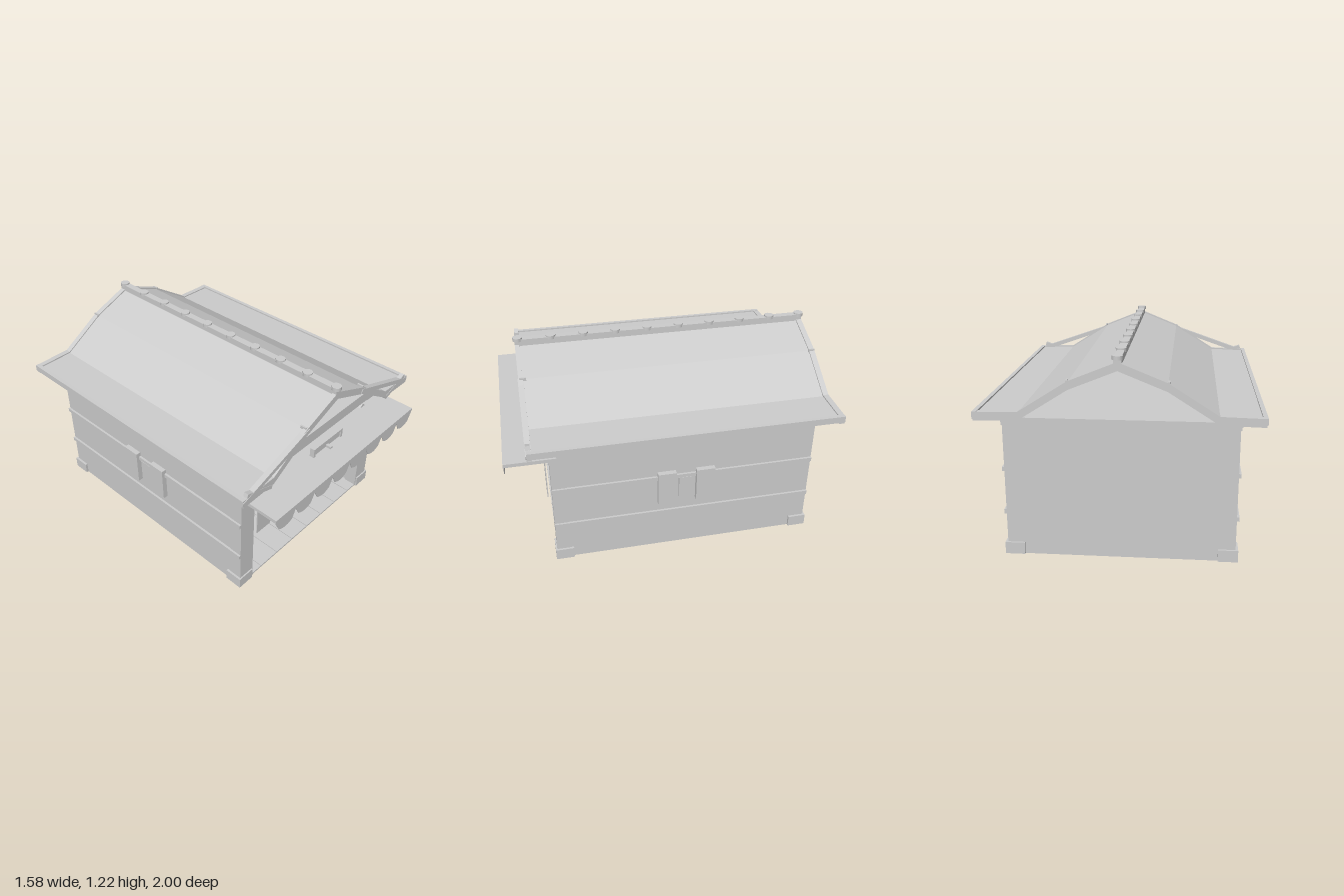
import * as THREE from 'three';

export function createModel() {
  const model = new THREE.Group();
  model.name = 'shopStall';
  const grey = new THREE.MeshStandardMaterial({ color: 0xcccccc });
  grey.name = 'plainGrey';

  const add = (name, geo, x = 0, y = 0, z = 0, parent = model) => {
    const m = new THREE.Mesh(geo, grey);
    m.name = name;
    m.position.set(x, y, z);
    parent.add(m);
    return m;
  };
  // box given by its limits
  const box = (name, x0, x1, y0, y1, z0, z1) =>
    add(name, new THREE.BoxGeometry(x1 - x0, y1 - y0, z1 - z0), (x0 + x1) / 2, (y0 + y1) / 2, (z0 + z1) / 2);
  // box repeated on both sides
  const pair = (name, x0, x1, ...r) => {
    box(name + 'Left', x0, x1, ...r);
    box(name + 'Right', -x1, -x0, ...r);
  };
  const extrude = (name, pts, z0, z1) => {
    const shape = new THREE.Shape(pts.map(p => new THREE.Vector2(p[0], p[1])));
    return add(name, new THREE.ExtrudeGeometry(shape, { depth: z1 - z0, bevelEnabled: false }), 0, 0, z0);
  };
  // straight beam in the front plane
  const beam = (name, a, b, w, z0, z1) => {
    const len = Math.hypot(b[0] - a[0], b[1] - a[1]);
    const m = add(name, new THREE.BoxGeometry(len, w, z1 - z0), (a[0] + b[0]) / 2, (a[1] + b[1]) / 2, (z0 + z1) / 2);
    m.rotation.z = Math.atan2(b[1] - a[1], b[0] - a[0]);
  };

  // Walls, back panel (open from inside), base and ceiling
  pair('sideWall', 0.62, 0.66, 0, 0.82, -0.865, 0.74);
  pair('frontPost', 0.55, 0.662, 0, 0.79, 0.66, 0.743);
  add('backWall', new THREE.PlaneGeometry(1.32, 0.82), 0, 0.41, -0.865).rotation.y = Math.PI;
  box('base', -0.65, 0.65, 0.001, 0.006, -0.865, 0.74);
  box('ceiling', -0.66, 0.66, 0.805, 0.825, -0.865, 0.74);
  box('frontBeam', -0.685, 0.685, 0.79, 0.862, 0.68, 0.755);
  box('lintel', -0.66, 0.66, 0.76, 0.79, 0.69, 0.735);
  box('backBeam', -0.665, 0.665, 0.79, 0.835, -0.873, -0.81);

  // Floor planks
  for (let i = 0; i < 8; i++) {
    const x = -0.62 + i * 0.155;
    box('floorPlank', x + 0.003, x + 0.152, 0.006, 0.012, -0.85, 0.74);
  }

  // Corner feet and side trim
  pair('frontFoot', 0.56, 0.675, 0, 0.072, 0.64, 0.752);
  pair('backFoot', 0.56, 0.675, 0, 0.072, -0.877, -0.765);
  pair('lowerTrim', 0.655, 0.674, 0.25, 0.276, -0.865, 0.742);
  pair('upperTrim', 0.655, 0.674, 0.512, 0.537, -0.865, 0.742);
  pair('topTrim', 0.655, 0.674, 0.79, 0.82, -0.82, 0.69);

  // Side windows with sliding shutters
  pair('frontShutter', 0.655, 0.692, 0.342, 0.565, 0, 0.112);
  pair('backShutter', 0.655, 0.692, 0.342, 0.565, -0.24, -0.125);
  pair('windowPane', 0.655, 0.676, 0.37, 0.515, -0.1, -0.02);

  // Roof shell with thicker rims at the gables and eaves
  const top = [[0, 1.175], [0.265, 1.068], [0.54, 0.893], [0.785, 0.887]];
  const roofBand = (drop, lift) => {
    const half = [...top.map(p => [p[0], p[1] + lift]), ...top.slice().reverse().map(p => [p[0], p[1] - drop])];
    const upper = half.slice(0, 4), lower = half.slice(4);
    const flip = p => [-p[0], p[1]];
    return [...upper.slice(1).reverse().map(flip), ...upper, ...lower, ...lower.slice(0, 3).reverse().map(flip)];
  };
  extrude('roof', roofBand(0.02, 0), -0.97, 0.85);
  extrude('frontBargeboard', roofBand(0.04, 0.008), 0.838, 0.864);
  extrude('backBargeboard', roofBand(0.04, 0.008), -0.985, -0.95);
  pair('eaveBoard', 0.765, 0.79, 0.857, 0.897, -0.985, 0.864);

  // Crossed decorative beams on the front gable
  for (const s of [1, -1]) {
    beam('gableBrace', [s * 0.25, 1.055], [s * 0.785, 0.87], 0.028, 0.835, 0.868);
    beam('gableCrossBeam', [s * 0.555, 0.845], [s * 0.755, 0.913], 0.026, 0.838, 0.866);
    for (const z of [0.838, -0.965]) box('purlinEnd', s * 0.27 - 0.005, s * 0.27 + 0.005, 1.03, 1.08, z - 0.02, z + 0.02);
  }

  // Ridge bar with round caps
  box('ridge', -0.022, 0.022, 1.14, 1.207, -0.985, 0.864);
  for (let i = 0; i < 10; i++)
    add('ridgeCap', new THREE.CylinderGeometry(0.03, 0.03, 0.022, 12), 0, 1.205, 0.845 - i * 0.2015);

  // Awning with a scalloped hanging edge
  box('awning', -0.675, 0.675, 0.743, 0.765, 0.7, 1.0);
  const w = 0.168;
  for (let i = 0; i < 8; i++) {
    const s = new THREE.Shape();
    s.moveTo(-w / 2, 0.755);
    s.lineTo(-w / 2, 0.735);
    s.lineTo(-0.055, 0.678);
    s.quadraticCurveTo(0, 0.645, 0.055, 0.678);
    s.lineTo(w / 2, 0.735);
    s.lineTo(w / 2, 0.755);
    add('awningScallop', new THREE.ExtrudeGeometry(s, { depth: 0.004, bevelEnabled: false, curveSegments: 6 }),
      (i - 3.5) * w, 0, 0.994);
  }
  for (const s of [1, -1])
    extrude('awningBracket', [[s * 0.47 - 0.03, 0.76], [s * 0.47 + 0.03, 0.76], [s * 0.47, 0.79]], 0.73, 0.76);

  // Blank sign board in a frame
  box('signBoard', -0.13, 0.13, 0.65, 0.82, 0.812, 0.826);
  pair('signSideRail', 0.125, 0.14, 0.645, 0.825, 0.806, 0.836);
  box('signTopRail', -0.14, 0.14, 0.81, 0.825, 0.806, 0.836);
  box('signBottomRail', -0.14, 0.14, 0.645, 0.66, 0.806, 0.836);
  box('signPeg', -0.01, 0.01, 0.765, 0.78, 0.82, 0.86);

  // Hanging banners beside the entrance
  pair('banner', 0.43, 0.55, 0.4, 0.655, 0.762, 0.768);

  // Counter
  box('counterTop', -0.41, 0.41, 0.225, 0.256, -0.42, -0.15);
  box('counterPanel', -0.365, 0.365, 0.012, 0.225, -0.39, -0.19);
  pair('counterLeg', 0.365, 0.4, 0.012, 0.225, -0.4, -0.17);
  for (const y of [0.09, 0.18]) box('counterRail', -0.365, 0.365, y - 0.004, y + 0.004, -0.19, -0.184);

  // Back shelving
  box('upperShelf', -0.42, 0.42, 0.478, 0.503, -0.84, -0.7);
  box('middleShelf', -0.55, 0.55, 0.285, 0.31, -0.84, -0.66);
  pair('lowCabinet', 0.4, 0.55, 0.012, 0.108, -0.84, -0.62);
  pair('lowShelf', 0.4, 0.55, 0.108, 0.135, -0.84, -0.6);
  pair('shelfPost', 0.29, 0.325, 0.012, 0.78, -0.84, -0.81);
  box('shelfCentrePost', -0.017, 0.017, 0.012, 0.78, -0.84, -0.81);

  // Bottles
  const profile = [[0, 0], [0.012, 0], [0.018, 0.045], [0.009, 0.052], [0.008, 0.072], [0, 0.072]]
    .map(p => new THREE.Vector2(p[0], p[1]));
  const bottleGeo = new THREE.LatheGeometry(profile, 8).toNonIndexed();
  bottleGeo.computeVertexNormals();
  const bottle = (x, y, z, s = 1) => add('bottle', bottleGeo, x, y, z).scale.setScalar(s);
  for (let i = -3; i <= 3; i++) bottle(i * 0.118, 0.503, -0.76);
  for (const x of [0.235, 0.355, 0.475]) {
    bottle(x, 0.31, -0.74);
    bottle(-x, 0.31, -0.74);
  }
  for (const x of [-0.475, 0.475]) bottle(x, 0.135, -0.72);
  for (let i = 0; i < 5; i++) bottle(-0.24 + i * 0.13, 0.256, -0.28, 1.12);

  return model;
}
